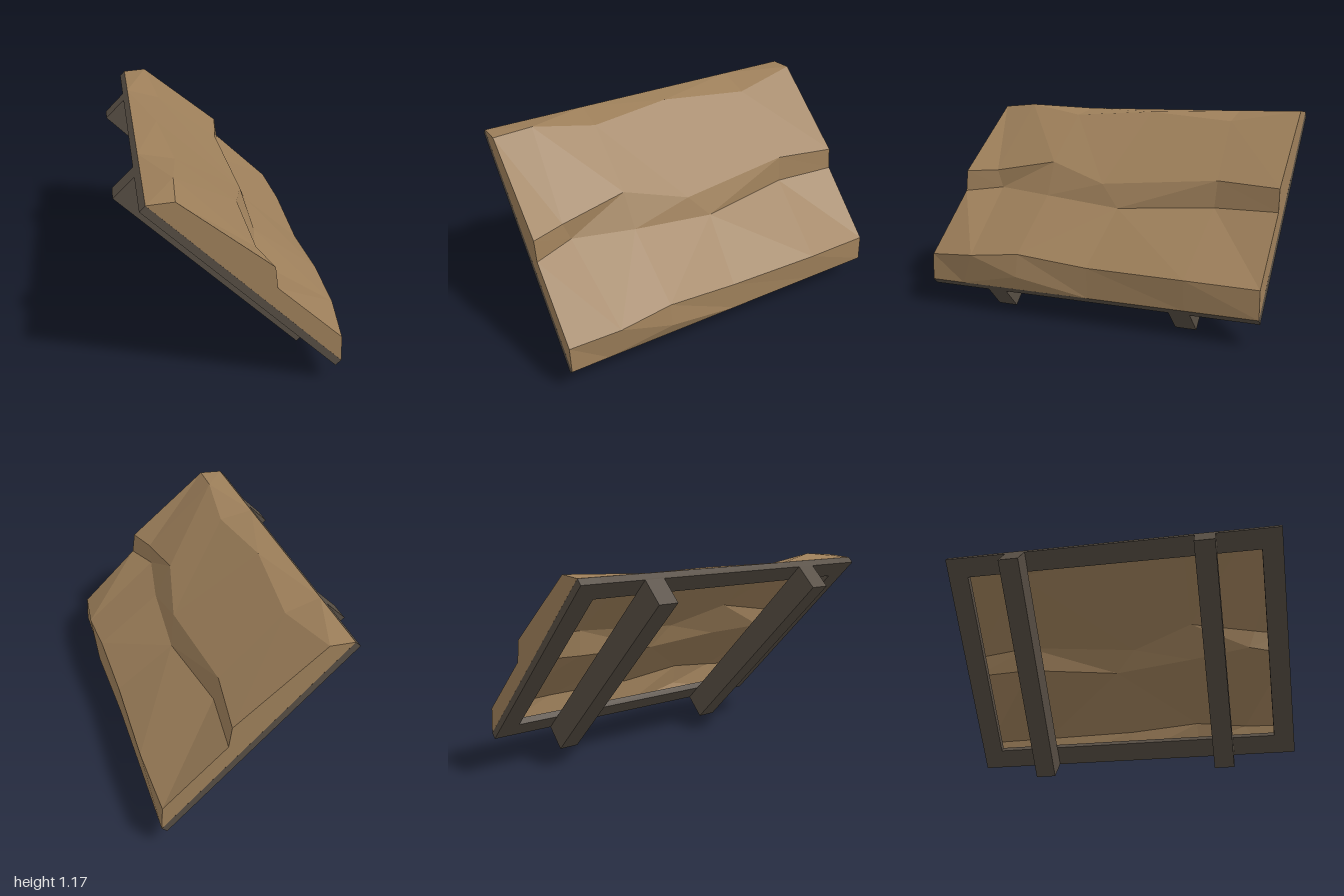
import * as THREE from 'three';

const rockMat = new THREE.MeshStandardMaterial({ color: 0x9d7f5a, side: THREE.DoubleSide });
rockMat.name = 'tan rock';
const frameMat = new THREE.MeshStandardMaterial({ color: 0x564d43 });
frameMat.name = 'dark frame';

// Fold lines of the rock, from upper edge to lower edge; each point is [x, y, z]
const rows = [
  [1, 0.78, 0.41, -0.07, -0.6, -1].map(z => [-0.445, 1.144, z]),
  [[-0.308, 1.153, 1], [-0.295, 1.17, 0.78], [-0.25, 1.108, 0.42], [-0.305, 1.133, -0.07], [-0.25, 1.088, -0.6], [-0.308, 1.153, -1]],
  [[0.175, 0.76, 1], [0.115, 0.768, 0.81], [0.083, 0.833, 0.42], [0.17, 0.728, 0.05], [0.125, 0.778, -0.64], [0.175, 0.76, -1]],
  [[0.192, 0.635, 1], [0.12, 0.662, 0.77], [0.187, 0.64, 0.41], [0.222, 0.598, -0.07], [0.147, 0.628, -0.63], [0.192, 0.635, -1]],
  [[0.546, 0.297, 1], [0.576, 0.32, 0.71], [0.563, 0.352, 0.4], [0.551, 0.313, -0.03], [0.562, 0.308, -0.6], [0.546, 0.297, -1]],
  [[0.555, 0.144, 1], [0.555, 0.144, 0.78], [0.586, 0.225, 0.4], [0.555, 0.144, -0.04], [0.555, 0.144, -0.6], [0.555, 0.144, -1]],
];
// Which diagonal splits each cell between two fold lines
const diagonals = ['01010', '00010', '01110', '01100', '00000'];

function rockGeometry() {
  const pos = [];
  const tri = (a, b, c) => pos.push(...a, ...b, ...c);
  // Faceted upper surface
  for (let r = 0; r < rows.length - 1; r++) {
    for (let i = 0; i < 5; i++) {
      const p = rows[r][i], q = rows[r + 1][i], s = rows[r][i + 1], t = rows[r + 1][i + 1];
      if (diagonals[r][i] === '0') { tri(p, q, t); tri(p, t, s); }
      else { tri(p, q, s); tri(q, t, s); }
    }
  }
  // Underside of the bulge on the lower edge
  const low = rows[5];
  tri(low[2], low[1], low[3]);
  // Flat ends
  for (const i of [0, 5]) {
    const ring = rows.map(row => row[i]).reverse();
    const outline = ring.map(([x, y]) => new THREE.Vector2(x, y));
    for (const [a, b, c] of THREE.ShapeUtils.triangulateShape(outline, [])) {
      const ccw = !THREE.ShapeUtils.isClockWise([outline[a], outline[b], outline[c]]);
      if (ccw === (i === 0)) tri(ring[a], ring[b], ring[c]);
      else tri(ring[a], ring[c], ring[b]);
    }
  }
  const geo = new THREE.BufferGeometry();
  geo.setAttribute('position', new THREE.Float32BufferAttribute(pos, 3));
  geo.computeVertexNormals();
  return geo;
}

// Timber in the sloped frame: along = down the slope, up = out of the slope
function timber(name, length, thickness, width, along, up, z) {
  const mesh = new THREE.Mesh(new THREE.BoxGeometry(length, thickness, width), frameMat);
  mesh.name = name;
  mesh.position.set(along, up, z);
  return mesh;
}

export function createModel() {
  const group = new THREE.Group();
  group.name = 'slopedRockPanel';

  const rock = new THREE.Mesh(rockGeometry(), rockMat);
  rock.name = 'rockSurface';
  group.add(rock);

  // Open frame under the hollow rock, laid out flat and then tilted
  const frame = new THREE.Group();
  frame.name = 'supportFrame';
  frame.position.set(0.04, 0.629, 0);
  frame.rotation.z = -Math.PI / 4;
  const length = Math.SQRT2, rim = 0.12;
  for (const side of [1, -1]) {
    const place = side > 0 ? 'front' : 'back';
    frame.add(timber(place + 'Rail', length, 0.042, rim, 0, 0, side * (1 - rim / 2)));
    frame.add(timber(side > 0 ? 'lowerRail' : 'upperRail', rim, 0.042, 2 - 2 * rim, side * (length - rim) / 2, 0, 0));
    frame.add(timber(place + 'Beam', length, 0.16, 0.12, 0, -0.101, side * 0.565));
  }
  group.add(frame);
  return group;
}
